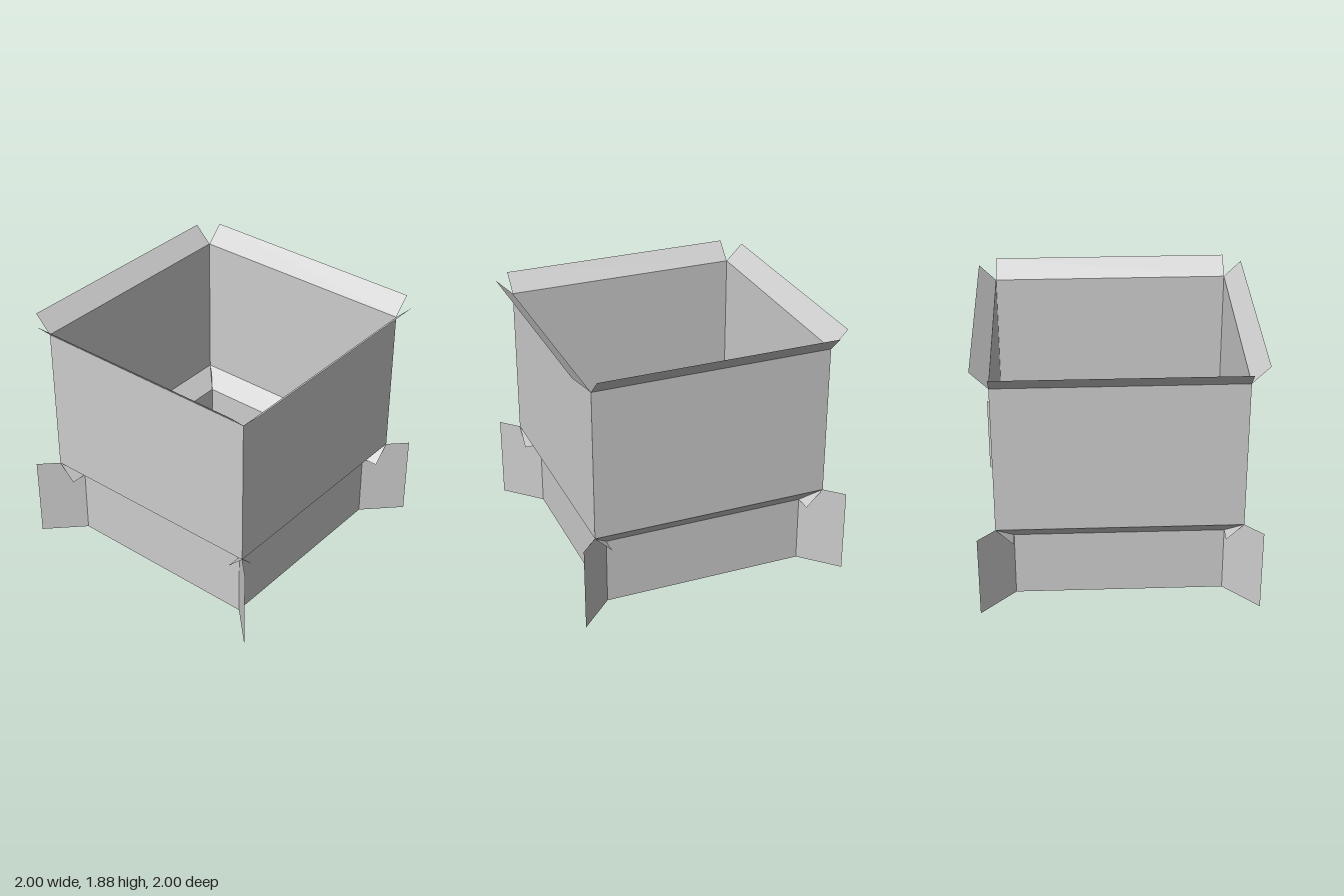
import * as THREE from 'three';

const cardboard = new THREE.MeshStandardMaterial({ color: 0xcccccc, side: THREE.DoubleSide });
cardboard.name = 'cardboardGrey';

// Thin flat panel from four corners, counter-clockwise seen from outside
function panel(name, corners) {
  const geometry = new THREE.BufferGeometry();
  geometry.setAttribute('position', new THREE.Float32BufferAttribute(corners.flat(), 3));
  geometry.setIndex([0, 1, 2, 0, 2, 3]);
  geometry.computeVertexNormals();
  const mesh = new THREE.Mesh(geometry, cardboard);
  mesh.name = name;
  return mesh;
}

// Panel spanning x = -w..w, rising from (y0, z0) to (y1, z1)
const strip = (name, w, y0, z0, y1, z1) =>
  panel(name, [[-w, y0, z0], [w, y0, z0], [w, y1, z1], [-w, y1, z1]]);

export function createModel() {
  const model = new THREE.Group();
  model.name = 'openBox';

  const base = 0.75, body = 0.875, outer = 1;
  const baseTop = 0.5, bodyBottom = 0.625, bodyTop = 1.75, flapTop = 1.875;

  // Four identical sides, each turned a quarter
  for (let i = 0; i < 4; i++) {
    const side = new THREE.Group();
    side.name = `side${i + 1}`;
    side.rotation.y = i * Math.PI / 2;
    side.add(
      strip('baseWall', base, 0, base, baseTop, base),
      // full-width sloped panels cross each other at the corners
      strip('slopedPanel', body, baseTop, base, bodyBottom, body),
      strip('bodyWall', body, bodyBottom, body, bodyTop, body),
      strip('topFlap', body, bodyTop, body, flapTop, outer),
      // upright fin standing out diagonally from the base corner
      panel('cornerFin', [
        [base, 0, base], [outer, 0, outer], [outer, bodyBottom, outer], [base, bodyBottom, base],
      ]),
    );
    model.add(side);
  }

  // Floor
  model.add(panel('floor', [
    [-base, 0, -base], [base, 0, -base], [base, 0, base], [-base, 0, base],
  ]));

  return model;
}
